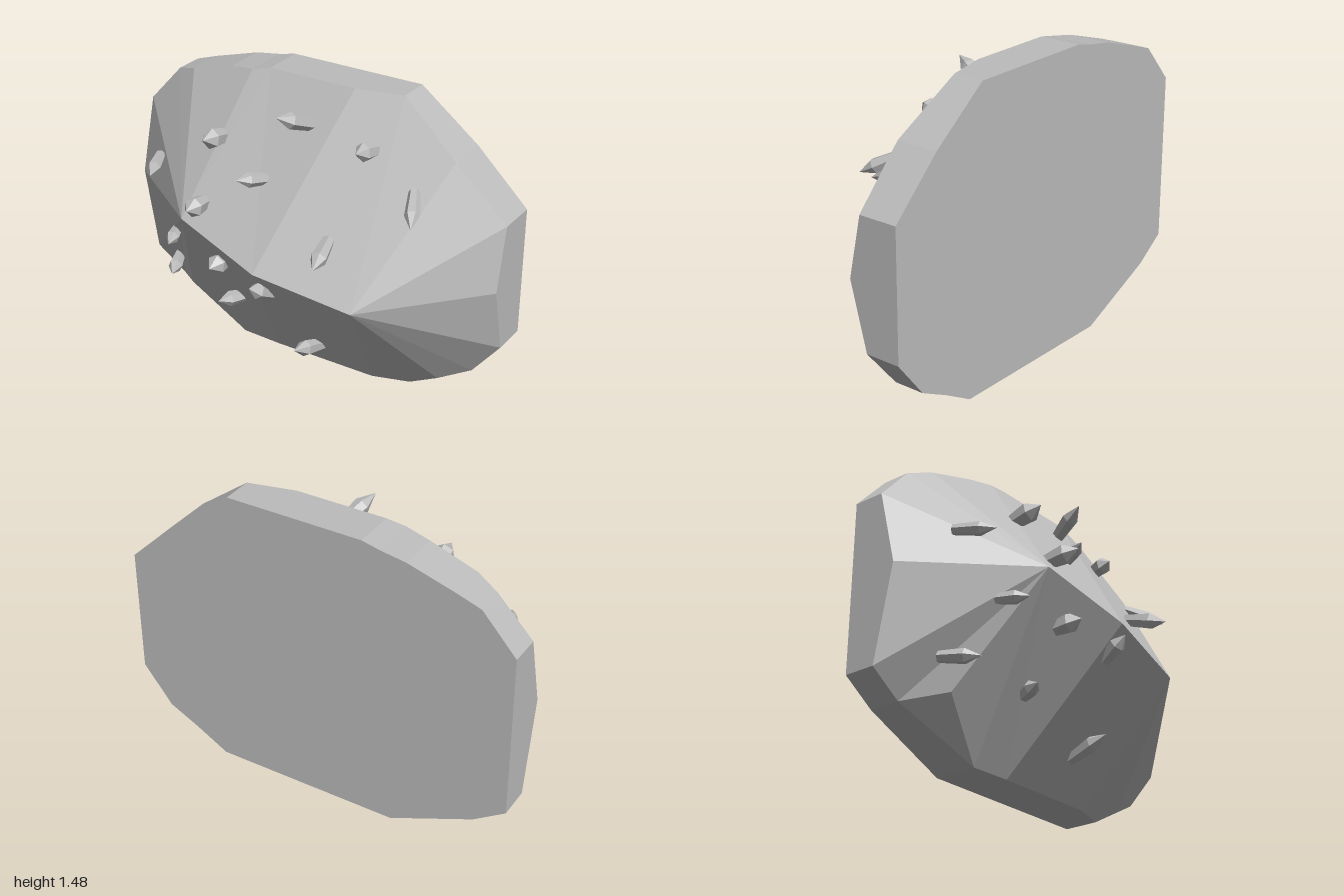
import * as THREE from 'three';

const stone = new THREE.MeshStandardMaterial({ color: 0xbcbcbc, flatShading: true });
stone.name = 'grey stone';

const BACK = -0.38;

// Front rim of the slab, anticlockwise seen from the front, from the lower left
const RIM = [
  [-0.41, 0, -0.16], [-0.2, 0, -0.15], [0.35, 0, -0.15], [0.53, 0, -0.205],
  [0.69, 0.09, -0.185], [0.85, 0.17, -0.225], [1, 0.36, -0.2], [1, 0.69, -0.115],
  [1, 1.0, -0.18], [0.74, 1.25, -0.165], [0.44, 1.48, -0.225], [0.21, 1.48, -0.17],
  [-0.25, 1.48, -0.17], [-0.34, 1.46, -0.155], [-0.47, 1.44, -0.175], [-0.71, 1.37, -0.19],
  [-0.83, 1.33, -0.235], [-1, 1.14, -0.225], [-1, 0.77, -0.13], [-1, 0.3, -0.22],
  [-0.84, 0.19, -0.22],
];

// Ridge corners and the small knuckle at the lower left
const LEFT = [-0.45, 0.83, 0.29], MID = [0, 0.7, 0.36], RIGHT = [0.48, 0.61, 0.29];
const KNUCKLE = [-0.67, 0.25, -0.07];

function meshFrom(name, triangles) {
  const geometry = new THREE.BufferGeometry();
  geometry.setAttribute('position', new THREE.Float32BufferAttribute(triangles.flat(2), 3));
  geometry.computeVertexNormals();
  const mesh = new THREE.Mesh(geometry, stone);
  mesh.name = name;
  return mesh;
}

// Faceted front: rim fans around each ridge corner
function rockFace() {
  const tris = [];
  const fan = (apex, from, to) => {
    for (let i = from; i < to; i++) tris.push([apex, RIM[i % RIM.length], RIM[(i + 1) % RIM.length]]);
  };
  fan(MID, 1, 2);
  fan(RIGHT, 2, 11);
  fan(MID, 11, 12);
  fan(LEFT, 12, 20);
  fan(KNUCKLE, 20, 21);
  tris.push([LEFT, RIM[20], KNUCKLE], [LEFT, KNUCKLE, RIM[0]], [LEFT, RIM[0], RIM[1]]);
  tris.push([LEFT, RIM[1], MID], [MID, RIM[2], RIGHT], [RIGHT, RIM[11], MID], [MID, RIM[12], LEFT]);
  return meshFrom('rockFace', tris);
}

// Straight edge band and flat back
function rockBack() {
  const tris = [];
  const centre = [0, 0.74, BACK];
  RIM.forEach((a, i) => {
    const b = RIM[(i + 1) % RIM.length];
    const a2 = [a[0], a[1], BACK], b2 = [b[0], b[1], BACK];
    tris.push([a, a2, b2], [a, b2, b], [centre, b2, a2]);
  });
  return meshFrom('rockBack', tris);
}

// Six-sided crystal running from its root to its tip
function crystal(root, tip, radius) {
  const a = new THREE.Vector3(...root), b = new THREE.Vector3(...tip);
  const length = a.distanceTo(b);
  const profile = [[0, 0], [0.75, 0], [1, 0.62], [0, 1]]
    .map(([r, t]) => new THREE.Vector2(r * radius, t * length));
  const mesh = new THREE.Mesh(new THREE.LatheGeometry(profile, 6), stone);
  mesh.name = 'crystal';
  mesh.position.copy(a);
  mesh.quaternion.setFromUnitVectors(new THREE.Vector3(0, 1, 0), b.sub(a).normalize());
  return mesh;
}

// Root, tip and radius of every crystal
const CRYSTALS = [
  [[0.05, 1.3, -0.07], [-0.02, 1.39, 0.13], 0.04],
  [[-0.39, 1.17, 0.02], [-0.385, 1.21, 0.19], 0.05],
  [[0.37, 1.25, -0.09], [0.345, 1.27, 0.04], 0.045],
  [[-0.09, 1.055, 0.09], [-0.16, 1.09, 0.25], 0.036],
  [[0.6, 1.115, -0.05], [0.68, 1.02, 0.12], 0.036],
  [[-0.78, 0.97, 0.01], [-0.7, 0.95, 0.2], 0.033],
  [[-0.37, 0.91, 0.21], [-0.35, 0.935, 0.38], 0.048],
  [[0.29, 0.88, 0.17], [0.335, 0.83, 0.375], 0.04],
  [[-0.61, 0.665, 0.1], [-0.55, 0.655, 0.27], 0.033],
  [[-0.275, 0.62, 0.17], [-0.265, 0.635, 0.33], 0.048],
  [[0.02, 0.55, 0.24], [-0.005, 0.635, 0.38], 0.04],
  [[-0.75, 0.39, -0.08], [-0.67, 0.375, 0.1], 0.036],
  [[-0.28, 0.335, 0], [-0.35, 0.345, 0.15], 0.038],
  [[0.125, 0.165, -0.04], [0.11, 0.235, 0.18], 0.04],
];

export function createModel() {
  const model = new THREE.Group();
  model.name = 'crystalRock';
  model.add(rockFace(), rockBack());
  const crystals = new THREE.Group();
  crystals.name = 'crystals';
  for (const [root, tip, radius] of CRYSTALS) crystals.add(crystal(root, tip, radius));
  model.add(crystals);
  return model;
}
